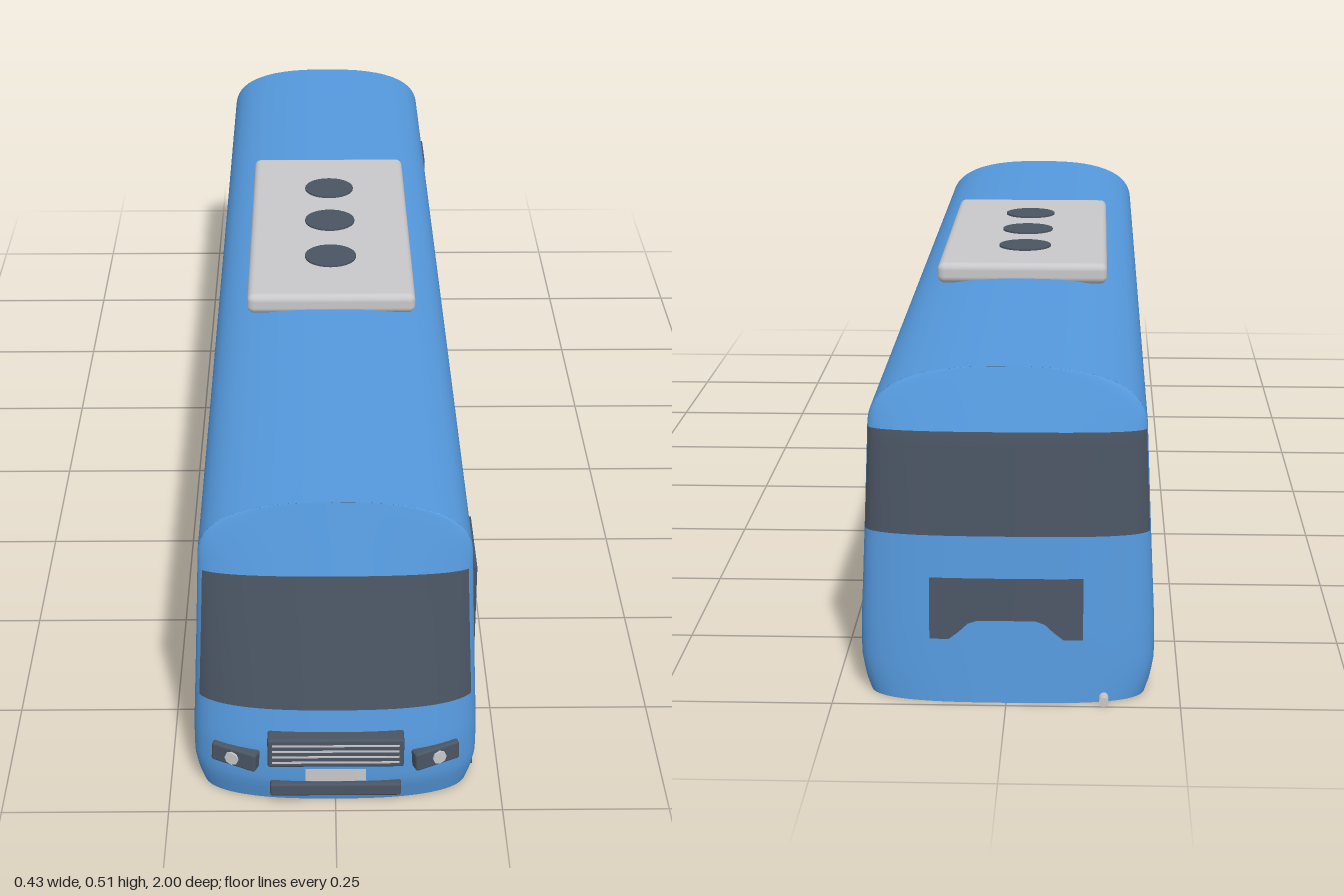
import * as THREE from 'three';
import { RoundedBoxGeometry } from 'three/addons/geometries/RoundedBoxGeometry.js';

const mat = (name, color) => {
  const m = new THREE.MeshStandardMaterial({ color, side: THREE.DoubleSide });
  m.name = name;
  return m;
};

// piecewise interpolation through [position, value] pairs
function lerpTable(pts, t) {
  if (t <= pts[0][0]) return pts[0][1];
  for (let i = 1; i < pts.length; i++) {
    const [a, va] = pts[i - 1], [b, vb] = pts[i];
    if (t <= b) return va + (vb - va) * (t - a) / (b - a);
  }
  return pts[pts.length - 1][1];
}

// surface grid from a rule fn(u, v) -> [x, y, z]
function grid(nu, nv, fn) {
  const pos = [], idx = [];
  for (let j = 0; j <= nv; j++)
    for (let i = 0; i <= nu; i++) pos.push(...fn(i / nu, j / nv));
  for (let j = 0; j < nv; j++)
    for (let i = 0; i < nu; i++) {
      const a = j * (nu + 1) + i, c = a + nu + 1;
      idx.push(a, a + 1, c + 1, a, c + 1, c);
    }
  const g = new THREE.BufferGeometry();
  g.setAttribute('position', new THREE.Float32BufferAttribute(pos, 3));
  g.setIndex(idx);
  g.computeVertexNormals();
  return g;
}

// body dimensions
const EAVE = 0.39, TOP = 0.482, ROOF_P = 2.6;
const ZF = 0.905, ZR = -0.92;
const WALL = [[0, 0.2], [0.02, 0.207], [0.05, 0.213], [0.1, 0.213], [0.25, 0.206], [EAVE, 0.2]];
const NOSE = [[0, 0.972], [0.04, 0.984], [0.1, 0.984], [0.165, 0.973], [0.375, 0.935], [TOP, ZF]];
const TAIL = [[0, 0.99], [0.1, 0.982], [EAVE, 0.957], [TOP, -ZR]];
const ARCH = [[0, 0.105], [0.02, 0.104], [0.04, 0.099], [0.06, 0.085], [0.08, 0.06], [0.095, 0.038], [0.11, 0.018], [0.125, 0]];

const halfWidth = y => y <= EAVE ? lerpTable(WALL, y)
  : 0.2 * Math.pow(Math.max(0, 1 - Math.pow((y - EAVE) / (TOP - EAVE), ROOF_P)), 1 / ROOF_P);
const arch = z => Math.max(lerpTable(ARCH, Math.abs(z - 0.62)), lerpTable(ARCH, Math.abs(z + 0.535)));

// bulging end surface; end = 1 front, -1 rear
function capZ(x, y, end) {
  const p = end > 0 ? 2.5 : 3, edge = end > 0 ? ZF : -ZR;
  const k = Math.min(1, Math.abs(x) / Math.max(halfWidth(y), 1e-6));
  const bulge = lerpTable(end > 0 ? NOSE : TAIL, y) - edge;
  return end * (edge + bulge * Math.pow(1 - Math.pow(k, p), 1 / p));
}

export function createModel() {
  const bus = new THREE.Group();
  bus.name = 'bus';
  const blue = mat('bodyBlue', 0x5599dd);
  const dark = mat('darkGlass', 0x4a5563);
  const grey = mat('lightGrey', 0xc8c8ca);

  const add = (name, geo, m, x = 0, y = 0, z = 0) => {
    const mesh = new THREE.Mesh(geo, m);
    mesh.name = name;
    mesh.position.set(x, y, z);
    bus.add(mesh);
    return mesh;
  };
  const box = (name, m, x0, x1, y0, y1, z0, z1) =>
    add(name, new THREE.BoxGeometry(x1 - x0, y1 - y0, z1 - z0), m, (x0 + x1) / 2, (y0 + y1) / 2, (z0 + z1) / 2);

  // roof
  add('roof', grid(40, 1, (u, v) => {
    const a = (u * 2 - 1) * Math.PI / 2, s = Math.sin(a);
    const x = 0.2 * Math.sign(s) * Math.pow(Math.abs(s), 2 / ROOF_P);
    const y = EAVE + (TOP - EAVE) * Math.pow(Math.max(0, Math.cos(a)), 2 / ROOF_P);
    return [x, y, ZF + (ZR - ZF) * v];
  }), blue);

  // side walls between a lower and an upper edge
  const wall = (name, m, side, z0, z1, lo, hi, out = 0) => {
    const n = Math.max(4, Math.ceil((z1 - z0) / 0.008));
    add(name, grid(n, 8, (u, v) => {
      const z = side > 0 ? z1 + (z0 - z1) * u : z0 + (z1 - z0) * u;
      const a = lo(z), b = Math.max(a, hi(z)), y = a + (b - a) * v;
      return [side * (halfWidth(y) + out), y, z];
    }), m);
  };
  const doors = [[0.765, ZF], [-0.775, -0.655]];
  const spans = { '1': [[ZR, -0.775], [-0.655, 0.765]], '-1': [[ZR, ZF]] };
  for (const side of [1, -1]) {
    for (const [z0, z1] of spans[side]) {
      wall('skirt', grey, side, z0, z1, z => Math.max(0.006, arch(z)), () => 0.045);
      wall('sidePanel', blue, side, z0, z1, z => Math.max(0.045, arch(z)), () => 0.165);
      wall('sideWindows', dark, side, z0, z1, () => 0.165, () => EAVE);
    }
    for (const zc of [0.62, -0.535])
      wall('archTrim', grey, side, zc - 0.115, zc + 0.115, arch, z => arch(z) + 0.007, 0.003);
  }

  // open doorways on the left side
  for (const [z0, z1] of doors) {
    wall('doorHeader', dark, 1, z0, z1, () => 0.365, () => EAVE);
    for (const z of [z0, z1 - 0.006]) box('doorJamb', dark, 0.145, 0.207, 0.015, 0.37, z, z + 0.006);
    box('doorLintel', dark, 0.145, 0.207, 0.362, 0.37, z0, z1);
    box('doorStep', dark, 0.145, 0.21, 0.012, 0.04, z0, z1);
  }

  // front and rear ends, in horizontal bands; u limits run from -1 to 1
  const cap = (name, m, end, y0, y1, u0 = -1, u1 = 1, ease = false) =>
    add(name, grid(Math.ceil(24 * (u1 - u0)), 14, (u, v) => {
      const y = y0 + (y1 - y0) * (ease ? Math.sin(v * Math.PI / 2) : v);
      const x = end * halfWidth(y) * Math.sin((u0 + (u1 - u0) * u) * Math.PI / 2);
      return [x, y, capZ(x, y, end)];
    }), m);
  for (const [end, y0, y1, e] of [[1, 0.165, 0.375, 0.83], [-1, 0.245, 0.395, 0.92]]) {
    const label = end > 0 ? 'front' : 'rear';
    cap(label + 'Panel', blue, end, 0, y0);
    cap(label + 'Window', dark, end, y0, y1, -e, e);
    cap(label + 'PillarA', blue, end, y0, y1, -1, -e);
    cap(label + 'PillarB', blue, end, y0, y1, e, 1);
    cap(label + 'Dome', blue, end, y1, TOP, -1, 1, true);
  }

  // thin plates that follow the ends; lift raises the lower edge by x
  const plate = (name, m, end, x0, x1, y0, y1, off, lift = () => 0) =>
    add(name, grid(16, 4, (u, v) => {
      const x = end > 0 ? x0 + (x1 - x0) * u : x1 + (x0 - x1) * u;
      const lo = y0 + lift(x), y = lo + (y1 - lo) * v;
      return [x, y, capZ(x, y, end) + end * off];
    }), m);
  plate('numberPlate', grey, 1, -0.045, 0.045, 0.048, 0.07, 0.006);
  plate('rearGrille', dark, -1, -0.11, 0.11, 0.095, 0.185, 0.004,
    x => 0.028 * Math.max(0, Math.min(1, (0.08 - Math.abs(x)) / 0.03)));

  // front grille, bumper vent and headlights
  add('grille', new RoundedBoxGeometry(0.202, 0.05, 0.028, 2, 0.004), dark, 0, 0.105, 0.985);
  for (let i = 0; i < 4; i++) box('grilleBar', grey, -0.094, 0.094, 0.0885 + i * 0.01, 0.0915 + i * 0.01, 0.99, 1);
  add('bumperVent', new RoundedBoxGeometry(0.196, 0.022, 0.024, 2, 0.004), dark, 0, 0.031, 0.979);
  for (const side of [1, -1]) {
    const housing = add('headlightHousing', new RoundedBoxGeometry(0.072, 0.032, 0.02, 2, 0.004), dark, side * 0.149, 0.082, 0.968);
    housing.rotation.set(0, side * 0.4, side * 0.06);
    const lamp = add('headlight', new THREE.CylinderGeometry(0.011, 0.011, 0.008, 8), grey, side * 0.154, 0.082, 0.976);
    lamp.rotation.set(Math.PI / 2, 0, -side * 0.4);
  }

  // roof air unit with three fans
  add('airUnit', new RoundedBoxGeometry(0.286, 0.035, 0.62, 4, 0.012), grey, 0, 0.4895, -0.03);
  for (const z of [-0.185, -0.035, 0.12])
    add('fan', new THREE.CylinderGeometry(0.045, 0.045, 0.006, 32), dark, 0, 0.507, z);

  // floor and exhaust
  box('floor', dark, -0.185, 0.185, 0.012, 0.043, -0.9, 0.92);
  add('exhaust', new THREE.CylinderGeometry(0.007, 0.007, 0.06, 12), grey, -0.14, 0.007, -0.97).rotation.x = Math.PI / 2;

  return bus;
}
